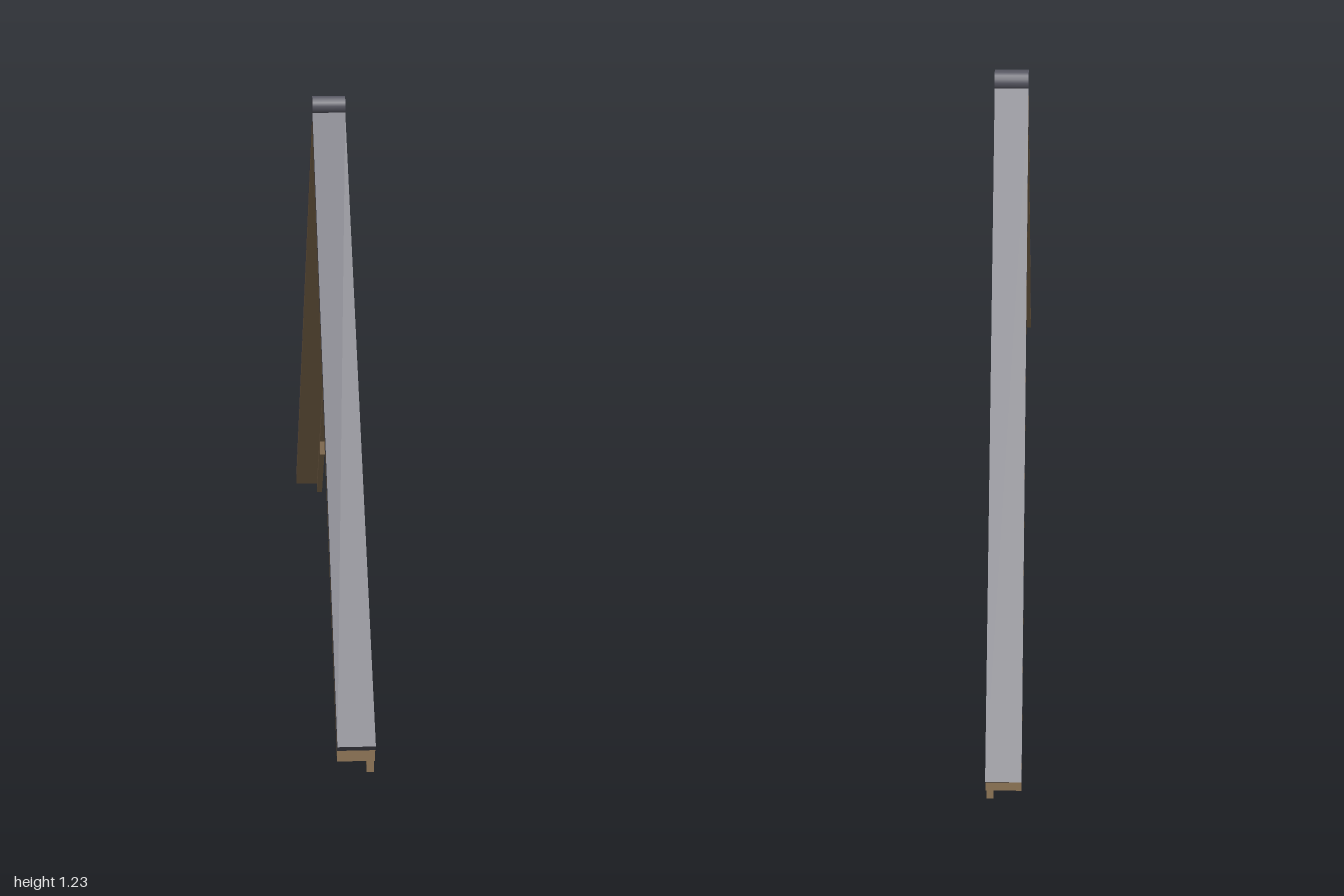
import * as THREE from 'three';

const SLOPE = 1.146;          // rise per unit of run
const HALF = 0.0375;          // half width of the strip
const RAFTER = [0.021, 0.0355]; // rafter extent across the strip

const slate = new THREE.MeshStandardMaterial({ color: 0x555560 });
const wood = new THREE.MeshStandardMaterial({ color: 0x8b7355 });

// Extrude a side profile of [z, y] points across the strip from x0 to x1
function profile(name, points, x0, x1, side, material) {
  const shape = new THREE.Shape(points.map(([z, y]) => new THREE.Vector2(z * side, y)));
  const geometry = new THREE.ExtrudeGeometry(shape, { depth: x1 - x0, bevelEnabled: false });
  geometry.rotateY(-Math.PI / 2).translate(x1, 0, 0);
  const mesh = new THREE.Mesh(geometry, material);
  mesh.name = name;
  return mesh;
}

// Layer with plumb-cut ends: apex heights of its top and bottom, and its end z
function plumbLayer(top, bottom, end) {
  return [[0, top], [end, top - SLOPE * end], [end, bottom - SLOPE * end], [0, bottom]];
}

function roofSide(side) {
  const group = new THREE.Group();
  group.name = side > 0 ? 'frontSlope' : 'backSlope';

  // Slate covering, cut square to the slope, leaving a notch at the ridge
  group.add(profile('slateCovering',
    [[0, 1.177], [0.0155, 1.19], [1, 0.062], [0.985, 0.048]], -HALF, HALF, side, slate));

  // Boards under the slate, then a rafter along one edge
  group.add(profile('roofBoards', plumbLayer(1.177, 1.153, 0.984), -HALF, HALF, side, wood));
  group.add(profile('rafter', plumbLayer(1.153, 1.123, 0.98), ...RAFTER, side, wood));

  // Short pegs hanging below the rafter
  for (let i = 1; i <= 5; i++) {
    const z = 0.1635 * i;
    const peg = new THREE.Mesh(new THREE.BoxGeometry(RAFTER[1] - RAFTER[0], 0.04, 0.014), wood);
    peg.name = 'peg';
    peg.position.set((RAFTER[0] + RAFTER[1]) / 2, 1.114 - SLOPE * z, z * side);
    group.add(peg);
  }
  return group;
}

export function createModel() {
  const model = new THREE.Group();
  model.name = 'roofSection';
  for (const side of [1, -1]) model.add(roofSide(side));

  // Round cap along the ridge
  const ridge = new THREE.Mesh(new THREE.CylinderGeometry(0.022, 0.022, HALF * 2, 16), slate);
  ridge.name = 'ridgeCap';
  ridge.rotation.z = Math.PI / 2;
  ridge.position.y = 1.204;
  model.add(ridge);
  return model;
}
